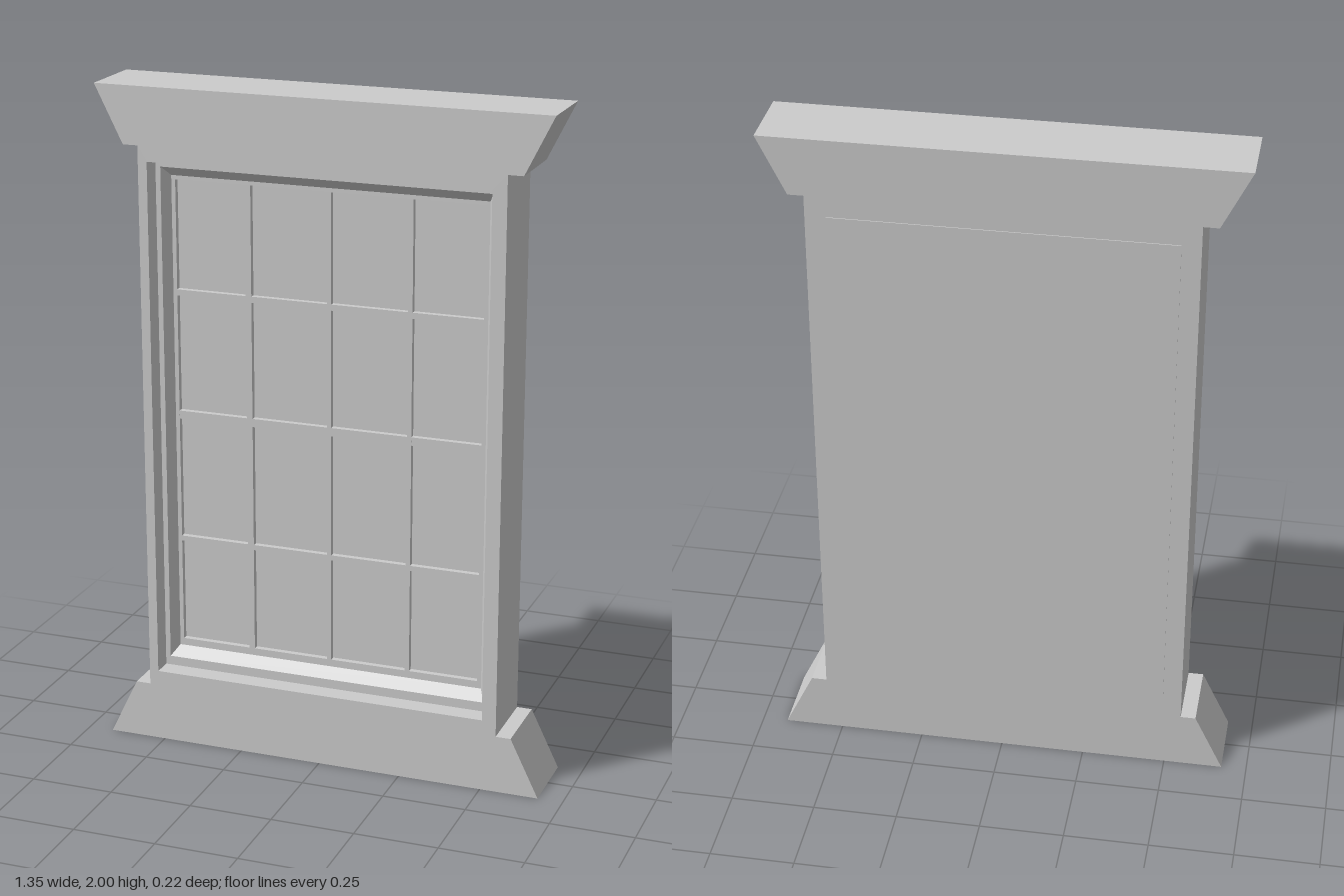
import * as THREE from 'three';

const material = new THREE.MeshStandardMaterial({ color: 0xcccccc, flatShading: true });
const CX = -0.0075; // the opening sits slightly off centre

function add(group, name, geometry) {
  const mesh = new THREE.Mesh(geometry, material);
  mesh.name = name;
  group.add(mesh);
}

function box(x0, x1, y0, y1, z0, z1) {
  return new THREE.BoxGeometry(x1 - x0, y1 - y0, z1 - z0)
    .translate((x0 + x1) / 2, (y0 + y1) / 2, (z0 + z1) / 2);
}

// Mitred frame lofted inwards through rectangles [halfWidth, bottom, top, z]
function mitredFrame(loops) {
  const rings = loops.map(([w, b, t, z]) =>
    [[CX - w, b, z], [CX + w, b, z], [CX + w, t, z], [CX - w, t, z]]);
  const pos = [];
  for (let i = 0; i < rings.length - 1; i++) {
    for (let k = 0; k < 4; k++) {
      const n = (k + 1) % 4;
      const [a, b, c, d] = [rings[i][k], rings[i][n], rings[i + 1][n], rings[i + 1][k]];
      pos.push(...a, ...b, ...c, ...a, ...c, ...d);
    }
  }
  const g = new THREE.BufferGeometry();
  g.setAttribute('position', new THREE.Float32BufferAttribute(pos, 3));
  g.computeVertexNormals();
  return g;
}

export function createModel() {
  const group = new THREE.Group();
  group.name = 'window';

  // Surround with flared head and sill, and a rectangular opening
  const right = [[0.675, 0], [0.59, 0.175], [0.545, 0.175], [0.545, 1.83], [0.59, 1.83], [0.675, 2]];
  const left = right.map(([x, y]) => [-x, y]).reverse();
  const shape = new THREE.Shape([...right, ...left].map(p => new THREE.Vector2(...p)));
  const hole = [[-0.51, 0.22], [-0.51, 1.785], [0.51, 1.785], [0.51, 0.22]];
  shape.holes.push(new THREE.Path(hole.map(([x, y]) => new THREE.Vector2(x + CX, y))));
  add(group, 'surround', new THREE.ExtrudeGeometry(shape, { depth: 0.22, bevelEnabled: false })
    .translate(0, 0, -0.11));

  // Stepped casing: flat lip, sloping reveal, sash border, pane rebate
  add(group, 'casing', mitredFrame([
    [0.51, 0.22, 1.785, 0.05],
    [0.495, 0.248, 1.76, 0.05],
    [0.477, 0.275, 1.73, 0.015],
    [0.465, 0.297, 1.718, 0.015],
    [0.465, 0.297, 1.718, -0.002],
  ]));

  // Solid backing that closes the opening and carries the panes
  add(group, 'backing', box(CX - 0.51, CX + 0.51, 0.22, 1.785, -0.11, -0.002));
  add(group, 'backPanel', box(-0.49, 0.485, 0.24, 1.77, -0.113, -0.105));

  // Glazing bars [centre, width] dividing four columns and four rows
  for (const [x, w] of [[-0.25, 0.018], [-0.003, 0.013], [0.241, 0.013]])
    add(group, 'verticalBar', box(x - w / 2, x + w / 2, 0.297, 1.718, -0.01, 0.015));
  for (const [y, w] of [[0.621, 0.016], [1.01, 0.025], [1.383, 0.018]])
    add(group, 'horizontalBar', box(CX - 0.465, CX + 0.465, y - w / 2, y + w / 2, -0.01, 0.0148));

  return group;
}
